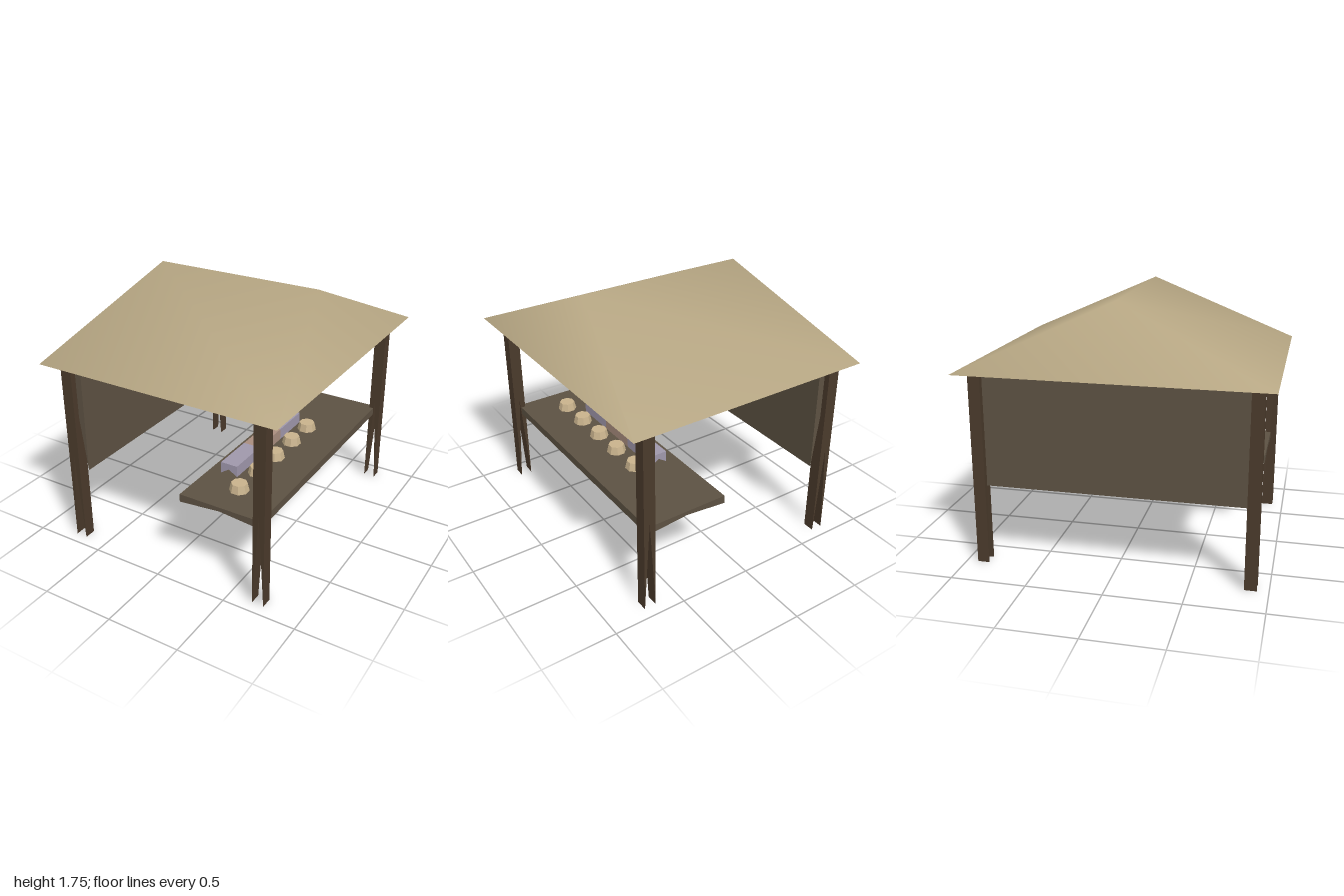
import * as THREE from 'three';

const mat = (color, extra = {}) => {
  const m = new THREE.MeshStandardMaterial({ color, ...extra });
  return m;
};

// Beam along z whose underside is notched up to mid-height
function notchedBeam(name, x0, x1, y0, y1, z0, z1, material) {
  const s = new THREE.Shape();
  s.moveTo(x0, y0);
  s.lineTo((x0 + x1) / 2, (y0 + y1) / 2);
  s.lineTo(x1, y0);
  s.lineTo(x1, y1);
  s.lineTo(x0, y1);
  s.closePath();
  const geo = new THREE.ExtrudeGeometry(s, { depth: z1 - z0, bevelEnabled: false });
  geo.translate(0, 0, z0);
  const mesh = new THREE.Mesh(geo, material);
  mesh.name = name;
  return mesh;
}

// Open hip roof with normals blended over the hips
function hipRoof() {
  const geo = new THREE.BufferGeometry();
  const ex = 0.85, ez = 1, ey = 1.3, rx = 0.59, ry = 1.753;
  geo.setAttribute('position', new THREE.Float32BufferAttribute([
    -ex, ey, ez, ex, ey, ez, ex, ey, -ez, -ex, ey, -ez, // eaves
    -rx, ry, 0, rx, ry, 0, // ridge
  ], 3));
  geo.setIndex([
    0, 1, 4, 1, 5, 4, // front slope
    2, 3, 5, 3, 4, 5, // back slope
    1, 2, 5, // left hip
    3, 0, 4, // right hip
  ]);
  geo.computeVertexNormals();
  const mesh = new THREE.Mesh(geo, mat(0xb5a582, { side: THREE.DoubleSide }));
  mesh.name = 'roof';
  return mesh;
}

export function createModel() {
  const stall = new THREE.Group();
  stall.name = 'marketStall';

  const postMat = mat(0x4a3a2b);
  const plankMat = mat(0x5c5142);

  stall.add(hipRoof());

  // Four corner posts
  for (const x of [-0.705, 0.705]) {
    for (const z of [-0.885, 0.885]) {
      stall.add(notchedBeam('post', x - 0.04, x + 0.04, 0, 1.3, z - 0.04, z + 0.04, postMat));
    }
  }

  // Side wall and counter
  stall.add(notchedBeam('wall', -0.71, -0.62, 0.535, 1.3, -0.885, 0.885, plankMat));
  stall.add(notchedBeam('counter', 0.115, 0.695, 0.535, 0.59, -0.885, 0.885, plankMat));

  // Row of three cloth rolls
  const cloth = [0x9f97ab, 0xa98d7e, 0x9f97ab];
  cloth.forEach((color, i) => {
    const z = 0.53 - i * 0.295;
    stall.add(notchedBeam('clothRoll', 0.2, 0.32, 0.59, 0.668, z - 0.295, z, mat(color)));
  });

  // Five upturned bowls
  const bowlGeo = new THREE.CylinderGeometry(0.053, 0.066, 0.056, 8);
  bowlGeo.rotateY(Math.PI / 8);
  const bowlMat = mat(0xc8b28c, { flatShading: true });
  for (let i = 0; i < 5; i++) {
    const bowl = new THREE.Mesh(bowlGeo, bowlMat);
    bowl.name = 'bowl';
    bowl.position.set(0.41, 0.617, 0.65 - i * 0.236);
    stall.add(bowl);
  }

  return stall;
}
